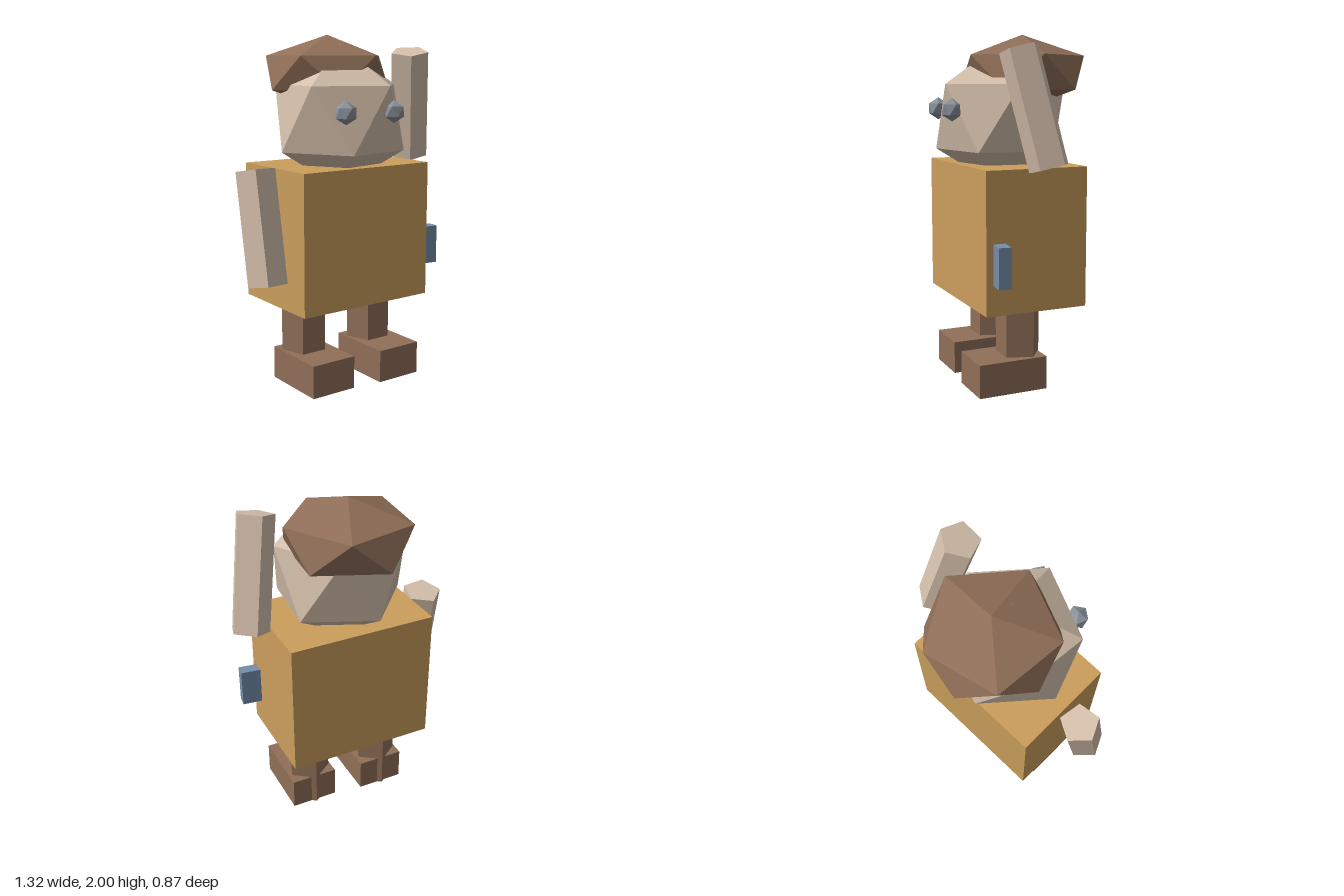
import * as THREE from 'three';

const mat = (name, color) => {
  const m = new THREE.MeshStandardMaterial({ color });
  m.name = name;
  return m;
};

export function createModel() {
  const model = new THREE.Group();
  const ochre = mat('ochre', 0xcb9f5c);
  const skin = mat('skin', 0xd4bfab);
  const brown = mat('brown', 0x906f58);
  const steel = mat('steelGrey', 0x8a929b);
  const blue = mat('blue', 0x768daa);
  const TURN = 0.052; // slight turn of the body and legs

  const add = (name, geometry, material, x, y, z, turn = 0) => {
    const mesh = new THREE.Mesh(geometry, material);
    mesh.name = name;
    mesh.position.set(x, y, z);
    mesh.rotation.y = turn;
    model.add(mesh);
    return mesh;
  };

  // Faceted ball standing on a vertex, radius r across and h up
  const ball = (r, h, turn) => {
    const g = new THREE.IcosahedronGeometry(1, 0);
    g.rotateZ(-Math.atan(2 / (1 + Math.sqrt(5))));
    g.rotateY(turn);
    g.scale(r, h, r);
    g.computeVertexNormals();
    return g;
  };

  // Flat-sided five-cornered rod
  const rod = (r, length, turn) => {
    const g = new THREE.CylinderGeometry(r, r, length, 5).toNonIndexed();
    g.rotateY(turn);
    g.computeVertexNormals();
    return g;
  };

  // Body and side pouch
  add('body', new THREE.BoxGeometry(0.87, 0.79, 0.605), ochre, 0, 0.875, 0.015, TURN);
  add('sidePouch', new THREE.BoxGeometry(0.14, 0.225, 0.07), blue, 0.488, 0.763, 0.222, -0.07);

  // Head, hair and eyes
  add('head', ball(0.414, 0.414, -0.05), skin, -0.003, 1.535, 0.045);
  add('hair', ball(0.402, 0.215, -0.035), brown, 0, 1.785, -0.09);
  add('rightEye', ball(0.064, 0.064, -0.3), steel, -0.17, 1.58, 0.365);
  add('leftEye', ball(0.064, 0.064, 0.1), steel, 0.137, 1.58, 0.378);

  // Arms, each running from its bottom centre to its top centre
  const arm = (name, bottom, top, turn) => {
    const a = new THREE.Vector3(...bottom), b = new THREE.Vector3(...top);
    const mid = a.clone().add(b).multiplyScalar(0.5);
    const mesh = add(name, rod(0.113, a.distanceTo(b), turn), skin, mid.x, mid.y, mid.z);
    mesh.quaternion.setFromUnitVectors(new THREE.Vector3(0, 1, 0), b.sub(a).normalize());
  };
  arm('rightArm', [-0.545, 0.645, 0.16], [-0.55, 1.268, 0.044], 0.8);
  arm('leftArm', [0.554, 1.282, -0.024], [0.449, 1.906, 0.106], 0.7);

  // Legs reach the ground behind the feet
  for (const [side, legX, footX] of [['right', -0.235, -0.225], ['left', 0.22, 0.23]]) {
    add(side + 'Leg', rod(0.131, 0.5, Math.PI), brown, legX, 0.251, 0.02, TURN);
    add(side + 'Foot', new THREE.BoxGeometry(0.282, 0.19, 0.41), brown, footX, 0.095, 0.1125, TURN);
  }

  return model;
}
